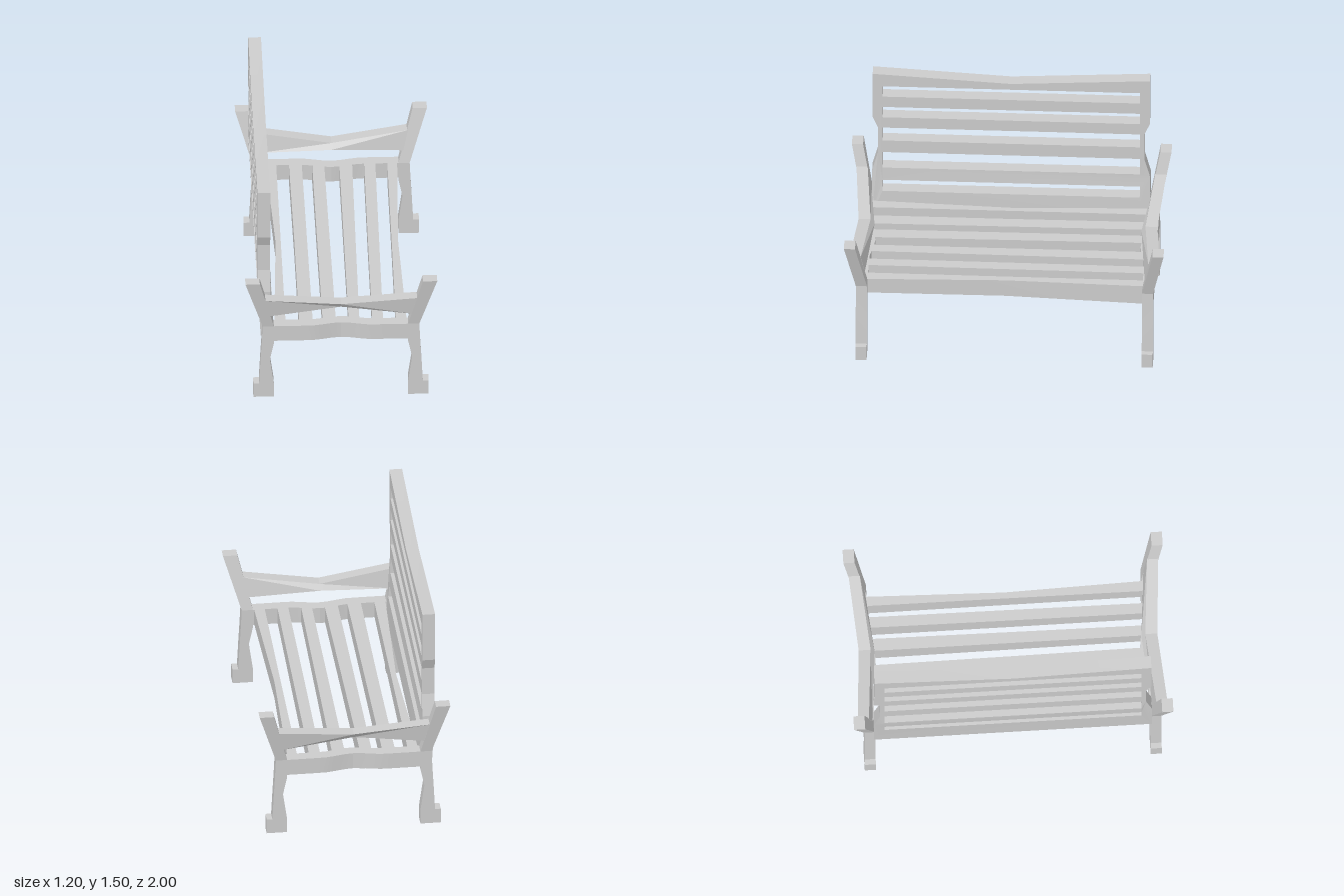
import * as THREE from 'three';
import { toCreasedNormals } from 'three/addons/utils/BufferGeometryUtils.js';

const material = new THREE.MeshStandardMaterial({ color: 0xcccccc });

// Solid through a row of four-cornered sections, capped at both ends
function loft(sections) {
  const v = (p) => new THREE.Vector3(...p);
  const tris = [];
  const quad = (a, b, c, d) => tris.push([a, b, c], [a, c, d]);
  for (let i = 0; i < sections.length - 1; i++) {
    const s = sections[i], t = sections[i + 1];
    for (let k = 0; k < 4; k++) {
      const n = (k + 1) % 4;
      quad(s[k], s[n], t[n], t[k]);
    }
  }
  quad(...[...sections[0]].reverse());
  quad(...sections[sections.length - 1]);
  // Turn the faces outward whichever way the sections run
  const volume = tris.reduce((sum, [a, b, c]) => sum + v(a).dot(v(b).cross(v(c))), 0);
  if (volume < 0) tris.forEach((t) => t.reverse());
  const geo = new THREE.BufferGeometry();
  geo.setAttribute('position', new THREE.Float32BufferAttribute(tris.flat(2), 3));
  return toCreasedNormals(geo, 0.15);
}

export function createModel() {
  const bench = new THREE.Group();
  bench.name = 'bench';
  const add = (name, geo) => {
    const mesh = new THREE.Mesh(geo, material);
    mesh.name = name;
    bench.add(mesh);
  };

  // Legs: [height, inner x, outer x, outward lean in z]
  const legLevels = [
    [0, 0.42, 0.548, 0], [0.1, 0.42, 0.548, 0], [0.1, 0.42, 0.512, 0],
    [0.28, 0.445, 0.503, 0], [0.4, 0.42, 0.496, 0], [0.53, 0.42, 0.49, 0],
    [0.895, 0.51, 0.6, 0.07],
  ];
  for (const sx of [-1, 1]) for (const sz of [-1, 1]) {
    add(sx > 0 ? 'frontLeg' : 'backLeg', loft(legLevels.map(([y, a, b, lean]) => {
      const z0 = sz * (0.86 + lean), z1 = sz * (0.93 + lean);
      return [[sx * a, y, z0], [sx * b, y, z0], [sx * b, y, z1], [sx * a, y, z1]];
    })));
  }

  for (const sz of [-1, 1]) {
    // Armrest: narrows and bows inward at the middle
    const armEnd = (sx) => [
      [sx * 0.48, 0.75, sz * 0.9], [sx * 0.48, 0.75, sz * 0.97],
      [sx * 0.45, 0.615, sz * 0.945], [sx * 0.45, 0.615, sz * 0.875],
    ];
    const armMiddle = [
      [0, 0.69, sz * 0.86], [0, 0.69, sz * 0.935],
      [0, 0.655, sz * 0.91], [0, 0.655, sz * 0.835],
    ];
    add('armrest', loft([armEnd(-1), armMiddle, armEnd(1)]));

    // Seat end rail: with a soft inward dip at the middle
    const rail = [];
    for (let i = 0; i <= 16; i++) {
      const x = -0.45 + (0.9 * i) / 16;
      const dip = Math.abs(x) < 0.2 ? 0.015 * (1 + Math.cos((Math.PI * x) / 0.2)) : 0;
      const z0 = sz * (0.86 - dip), z1 = sz * (0.93 - dip);
      rail.push([[x, 0.42, z0], [x, 0.53, z0], [x, 0.53, z1], [x, 0.42, z1]]);
    }
    add('seatEndRail', loft(rail));
  }

  // Seat slats: [x at the -z end, x at the middle, x at the +z end], as edge pairs
  const slats = [
    [[-0.41, -0.345], [-0.378, -0.345], [-0.415, -0.345]],
    [[-0.265, -0.185], [-0.26, -0.18], [-0.26, -0.175]],
    [[-0.12, -0.045], [-0.117, -0.038], [-0.113, -0.03]],
    [[0.05, 0.13], [0.05, 0.123], [0.05, 0.117]],
    [[0.205, 0.275], [0.2, 0.27], [0.197, 0.265]],
    [[0.35, 0.412], [0.348, 0.388], [0.345, 0.412]],
  ];
  slats.forEach((slat, n) => {
    add(n === 5 ? 'seatFrontSlat' : 'seatSlat', loft(slat.map(([a, b], i) => {
      const z = (i - 1) * 0.87, y = 0.395 + 0.015 * i;
      return [[a, y, z], [b, y, z], [b, 0.53, z], [a, 0.53, z]];
    })));
  });

  // Backrest: waisted posts, dipped top rail and open slots, drawn as (z, y)
  const side = [[0.87, 0.42], [0.87, 0.75], [0.833, 0.89], [0.833, 1.08], [0.867, 1.16], [0.867, 1.495]];
  const outline = [...side, [0, 1.445], ...side.map(([z, y]) => [-z, y]).reverse()];
  const points = (list) => list.map(([z, y]) => new THREE.Vector2(z, y));
  const shape = new THREE.Shape(points(outline));
  for (const [lo, hi] of [[0.6, 0.68], [0.77, 0.89], [0.98, 1.08], [1.16, 1.24], [1.32, 1.4]]) {
    shape.holes.push(new THREE.Path(points([[-0.805, lo], [-0.805, hi], [0.805, hi], [0.805, lo]])));
  }
  const back = new THREE.ExtrudeGeometry(shape, { depth: 0.08, bevelEnabled: false });
  back.rotateY(-Math.PI / 2).translate(-0.44, 0, 0);
  // The foot of the backrest sweeps slightly forward
  const pos = back.attributes.position;
  for (let i = 0; i < pos.count; i++) {
    pos.setX(i, pos.getX(i) + 0.02 * THREE.MathUtils.clamp((0.75 - pos.getY(i)) / 0.2, 0, 1));
  }
  add('backrest', toCreasedNormals(back, 0.15));

  return bench;
}
